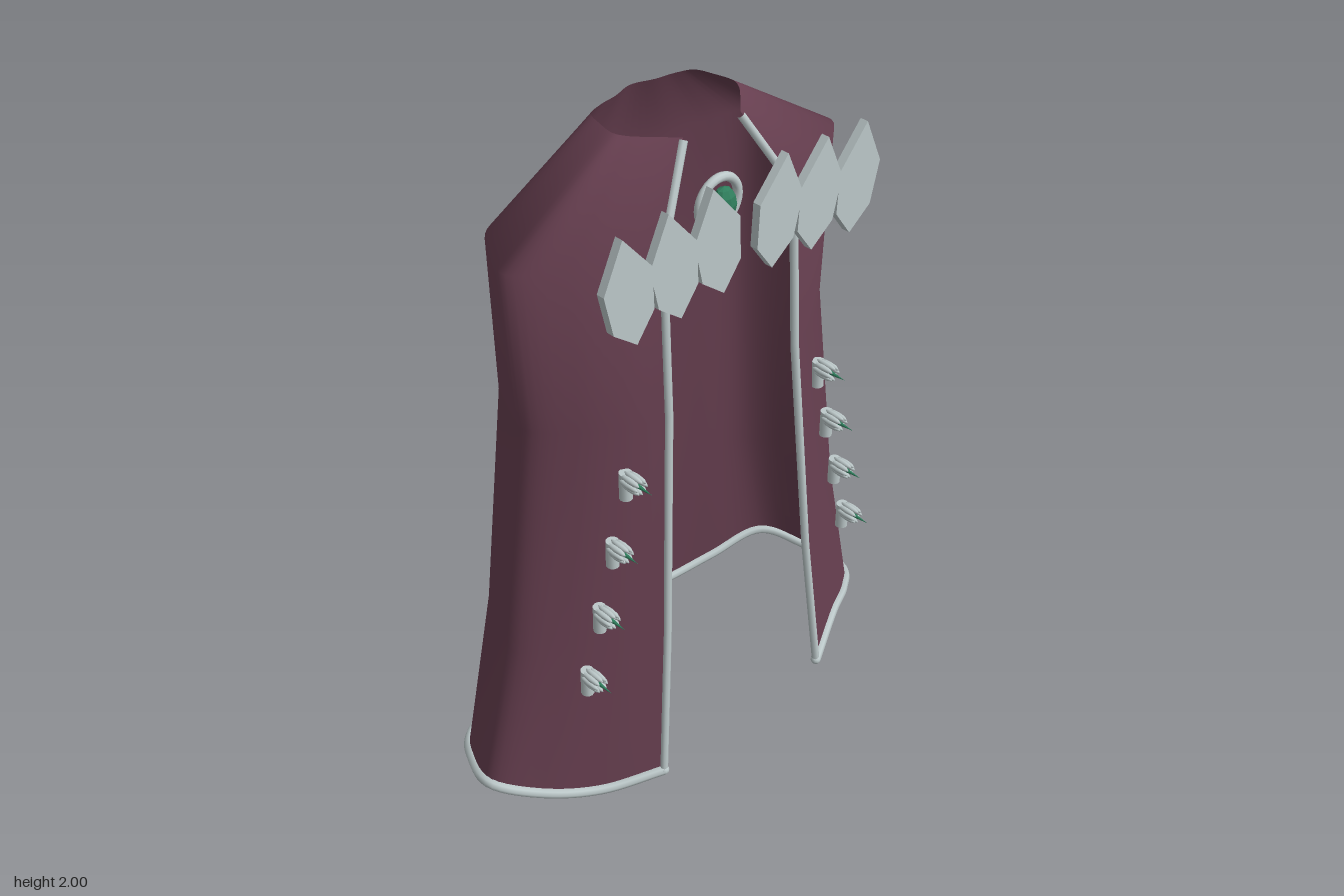
import * as THREE from 'three';

const V = (x, y, z) => new THREE.Vector3(x, y, z);

// Half cross-sections [x, z] from the front edge to the middle of the back
const RINGS = [
  { y: 2.0, p: [[.1, .165], [.15, .115], [.195, .065], [.21, .03], [.2, -.03], [.18, -.085], [.13, -.105], [.07, -.115], [0, -.135]] },
  { y: 1.76, p: [[.235, .235], [.36, .195], [.47, .14], [.585, .05], [.56, -.04], [.48, -.15], [.34, -.185], [.18, -.2], [0, -.22]] },
  { y: 1.27, p: [[.24, .262], [.36, .215], [.46, .15], [.55, .05], [.53, -.05], [.46, -.165], [.33, -.205], [.18, -.23], [0, -.25]] },
  { y: .55, p: [[.285, .305], [.42, .245], [.54, .17], [.645, .055], [.61, -.07], [.53, -.185], [.38, -.235], [.21, -.27], [0, -.295]] },
  { y: .05, p: [[.33, .338], [.5, .25], [.65, .165], [.76, .06], [.715, -.085], [.63, -.2], [.455, -.262], [.26, -.31], [0, -.348]] },
];
// Heights of the wavy hem, from the left front edge round the back to the right
const HEM_Y = [.065, .1, .06, .016, .06, .1, .05, .016, .05, .09, .05, .016, .06, .1, .06, .03, .055];
const STEPS = 96;

function ringCurve({ y, p }, isHem) {
  const pts = [...p, ...p.slice(0, -1).reverse().map(([x, z]) => [-x, z])];
  return new THREE.CatmullRomCurve3(pts.map(([x, z], i) => V(x, isHem ? HEM_Y[i] : y, z)));
}

// Cloth lofted through the rings, open at the front
function loft(curves) {
  const pos = [], idx = [], w = STEPS + 1;
  curves.forEach((c) => {
    for (let i = 0; i <= STEPS; i++) pos.push(...c.getPoint(i / STEPS).toArray());
  });
  for (let r = 0; r < curves.length - 1; r++) {
    for (let i = 0; i < STEPS; i++) {
      const a = r * w + i, b = a + w;
      idx.push(a, b, a + 1, a + 1, b, b + 1);
    }
  }
  const g = new THREE.BufferGeometry();
  g.setAttribute('position', new THREE.Float32BufferAttribute(pos, 3));
  g.setIndex(idx);
  g.computeVertexNormals();
  return g;
}

export function createModel() {
  const cloth = new THREE.MeshStandardMaterial({ color: 0x673f50, side: THREE.DoubleSide });
  const silver = new THREE.MeshStandardMaterial({ color: 0xbcc8c9 });
  const green = new THREE.MeshStandardMaterial({ color: 0x2f7d5c, flatShading: true });
  cloth.name = 'plum cloth';
  silver.name = 'pale silver';
  green.name = 'green gem';

  const model = new THREE.Group();
  model.name = 'cloak';
  const add = (name, geo, mat, x = 0, y = 0, z = 0, parent = model) => {
    const m = new THREE.Mesh(geo, mat);
    m.name = name;
    m.position.set(x, y, z);
    parent.add(m);
    return m;
  };

  // Cloth body
  const curves = RINGS.map((r, i) => ringCurve(r, i === RINGS.length - 1));
  add('clothBody', loft(curves), cloth);

  // Hem cord
  const hem = curves[curves.length - 1];
  add('hemTrim', new THREE.TubeGeometry(hem, 140, .016, 8), silver);

  // Cords down both front edges, with rounded ends
  for (const end of [0, 1]) {
    const pts = curves.map((c) => c.getPoint(end));
    pts[0].y -= .008;
    const path = new THREE.CurvePath();
    for (let i = 1; i < pts.length; i++) path.add(new THREE.LineCurve3(pts[i - 1], pts[i]));
    const side = end ? 'right' : 'left';
    add(side + 'FrontTrim', new THREE.TubeGeometry(path, 60, .012, 8), silver);
    const p = pts[pts.length - 1];
    add(side + 'HemEnd', new THREE.SphereGeometry(.016, 10, 8), silver, p.x, p.y, p.z);
  }

  // Row of leaf-shaped collar plates
  const leaf = new THREE.Shape(
    [[0, .16], [-.08, .035], [-.068, -.09], [0, -.16], [.068, -.09], [.08, .035]].map(([x, y]) => new THREE.Vector2(x, y)));
  const leafGeo = new THREE.ExtrudeGeometry(leaf, { depth: .025, bevelEnabled: false });
  // Bud-shaped fastener parts
  const pegGeo = new THREE.CylinderGeometry(.019, .019, .085, 12);
  const petalGeo = new THREE.SphereGeometry(1, 8, 8).scale(.009, .009, .036);
  const spikeGeo = new THREE.ConeGeometry(.009, .075, 8).rotateX(Math.PI / 2);

  for (const s of [1, -1]) {
    const side = s > 0 ? 'left' : 'right';
    for (let i = 0; i < 3; i++) {
      const plate = add(side + 'CollarPlate', leafGeo, silver, s * (.11 + .15 * i), 1.766 - .009 * i, .28);
      plate.rotation.z = -s * .14;
    }
    for (let i = 0; i < 4; i++) {
      const bud = new THREE.Group();
      bud.name = side + 'Fastener';
      bud.position.set(s * (.373 + .052 * i), 1.125 - .205 * i, 0);
      model.add(bud);
      add('peg', pegGeo, silver, 0, -.025, .237, bud);
      for (let k = 0; k < 8; k++) {
        const a = k * Math.PI / 4;
        add('petal', petalGeo, silver, .018 * Math.cos(a), .018 * Math.sin(a), .268, bud);
      }
      add('spike', spikeGeo, green, 0, 0, .302, bud);
    }
  }

  // Throat clasp: ring and gem
  add('claspRing', new THREE.TorusGeometry(.07, .013, 10, 32), silver, 0, 1.79, .192);
  add('claspGem', new THREE.SphereGeometry(1, 8, 6).scale(.04, .052, .03), green, 0, 1.79, .21);

  return model;
}
